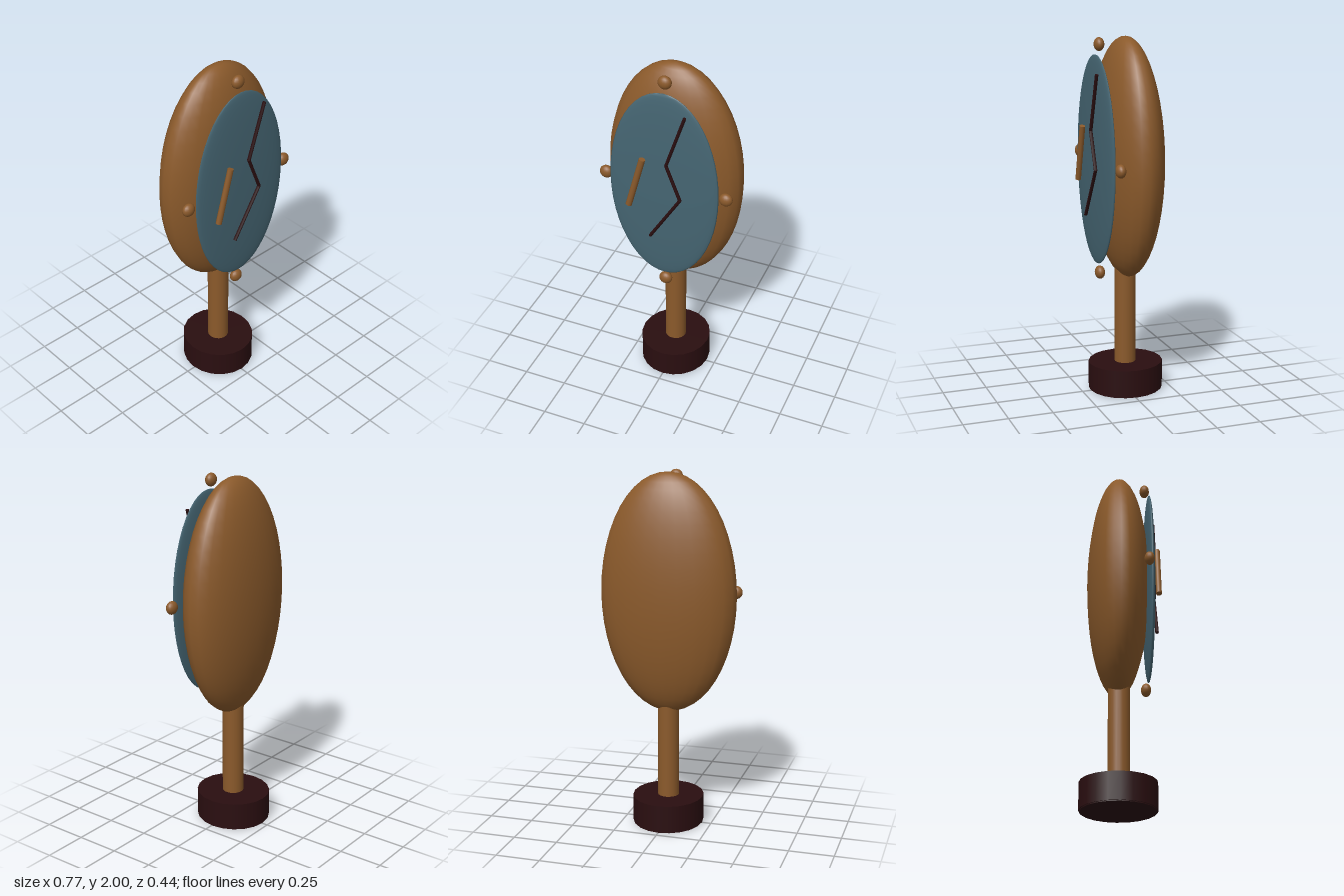
import * as THREE from 'three';

const mat = (name, color) => {
  const m = new THREE.MeshStandardMaterial({ color });
  m.name = name;
  return m;
};

export function createModel() {
  const group = new THREE.Group();
  const wood = mat('brown wood', 0x8b5a2b);
  const glass = mat('blue glass', 0x456572);
  const dark = mat('dark brown', 0x2a0e10);

  const add = (name, geometry, material, x = 0, y = 0, z = 0) => {
    const mesh = new THREE.Mesh(geometry, material);
    mesh.name = name;
    mesh.position.set(x, y, z);
    group.add(mesh);
    return mesh;
  };
  const ellipsoid = (rx, ry, rz, w, h) => new THREE.SphereGeometry(1, w, h).scale(rx, ry, rz);

  // Round rod between two points, joined at the given depth
  const rod = (name, a, b, z, rx, rz, material, sides) => {
    const dx = b[0] - a[0], dy = b[1] - a[1];
    const geo = new THREE.CylinderGeometry(1, 1, Math.hypot(dx, dy), sides).scale(rx, 1, rz);
    const mesh = add(name, geo, material, (a[0] + b[0]) / 2, (a[1] + b[1]) / 2, z);
    mesh.rotation.z = -Math.atan2(dx, dy);
  };

  // Foot: a slightly oval drum
  const drum = new THREE.CylinderGeometry(1, 1, 0.155, 20).scale(0.2, 1, 0.211);
  add('base', drum, dark, 0, 0.0825, -0.008);
  const sole = new THREE.CylinderGeometry(1, 1, 0.16, 20).scale(0.195, 1, 0.206);
  add('baseCore', sole, dark, 0, 0.08, -0.008);

  // Handle and oval frame
  add('handle', new THREE.CylinderGeometry(0.06, 0.06, 0.66, 20), wood, 0, 0.46, -0.006);
  add('frame', ellipsoid(0.387, 0.67, 0.175, 24, 24), wood, 0, 1.33, -0.011);

  // Mirror glass with a crack and a highlight bar
  add('mirrorGlass', ellipsoid(0.312, 0.578, 0.029, 32, 24), glass, 0, 1.328, 0.163);
  const crack = [[0.133, 1.812], [0.029, 1.497], [0.108, 1.294], [-0.066, 1.013]];
  for (let i = 0; i < 3; i++) {
    rod('crack' + (i + 1), crack[i], crack[i + 1], 0.202, 0.009, 0.01, dark, 8);
  }
  for (const [x, y] of crack.slice(1, 3)) {
    add('crackJoint', ellipsoid(0.009, 0.009, 0.01, 8, 6), dark, x, y, 0.202);
  }
  rod('glint', [-0.105, 1.505], [-0.189, 1.192], 0.205, 0.018, 0.016, wood, 10);

  // Four studs around the frame
  for (const [x, y] of [[0, 1.96], [0, 0.693], [-0.345, 1.327], [0.345, 1.327]]) {
    add('stud', ellipsoid(0.038, 0.037, 0.028, 16, 12), wood, x, y, 0.143);
  }
  return group;
}
